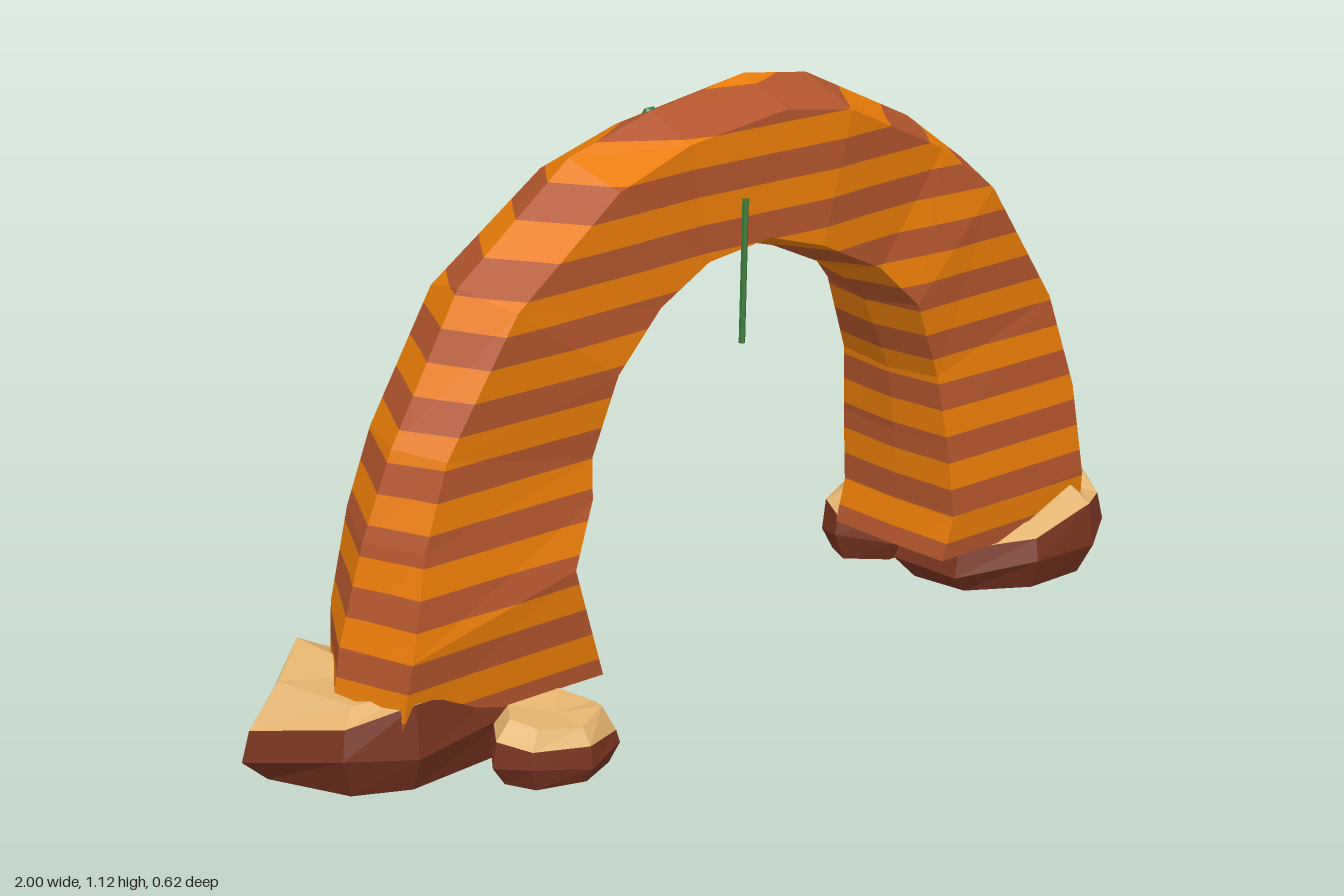
import * as THREE from 'three';

const flat = (name, color) => {
  const m = new THREE.MeshStandardMaterial({ color });
  m.name = name;
  m.flatShading = true;
  return m;
};

// Mesh from a list of triangles, each three Vector3
function facets(name, tris, material) {
  const geo = new THREE.BufferGeometry().setFromPoints(tris.flat());
  geo.computeVertexNormals();
  const mesh = new THREE.Mesh(geo, material);
  mesh.name = name;
  return mesh;
}

const V = (x, y, z) => new THREE.Vector3(x, y, z);

// Keep the part of a polygon on one side of a height
function clip(poly, y, sign) {
  const out = [];
  poly.forEach((a, i) => {
    const b = poly[(i + 1) % poly.length];
    const da = (a.y - y) * sign, db = (b.y - y) * sign;
    if (da >= 0) out.push(a);
    if (da * db < 0) out.push(a.clone().lerp(b, da / (da - db)));
  });
  return out;
}

// Arch stations: outer ridge x, y, inner ridge x, y, front z, back z, ridge z, back chamfer
const stations = [
  [-0.87, 0.11, -0.365, 0.105, 0.13, -0.165, -0.01, 0.11],
  [-0.85, 0.24, -0.43, 0.33, 0.145, -0.165, -0.01, 0.10],
  [-0.80, 0.43, -0.365, 0.44, 0.12, -0.165, 0, 0.09],
  [-0.74, 0.59, -0.355, 0.51, 0.11, -0.155, 0.01, 0.08],
  [-0.58, 0.845, -0.30, 0.645, 0.12, -0.14, 0, 0.06],
  [-0.32, 1.03, -0.20, 0.735, 0.11, -0.11, -0.01, 0.045],
  [-0.14, 1.085, -0.08, 0.79, 0.10, -0.105, 0, 0.045],
  [0.10, 1.115, 0.05, 0.81, 0.11, -0.12, -0.015, 0.05],
  [0.26, 1.09, 0.17, 0.775, 0.12, -0.12, -0.02, 0.05],
  [0.53, 0.96, 0.33, 0.70, 0.10, -0.105, -0.025, 0.045],
  [0.655, 0.86, 0.41, 0.62, 0.12, -0.13, 0, 0.045],
  [0.84, 0.59, 0.475, 0.47, 0.11, -0.15, 0.015, 0.045],
  [0.90, 0.39, 0.495, 0.335, 0.125, -0.165, 0, 0.045],
  [0.92, 0.20, 0.505, 0.19, 0.14, -0.165, -0.015, 0.045],
  [0.92, 0.105, 0.485, 0.105, 0.135, -0.165, -0.015, 0.045],
];

// Six-sided section: ridges outside and inside, flat front and back
function section([ox, oy, ix, iy, zf, zb, zr, chamfer]) {
  const O = V(ox, oy, zr), I = V(ix, iy, -0.01);
  const d = V(ix - ox, iy - oy, 0).normalize();
  const at = (p, k, z) => V(p.x + d.x * k, p.y + d.y * k, z);
  const inset = -0.035 * iy;
  return [O, at(O, 0.045, zf), at(I, inset, zf), I, at(I, inset, zb), at(O, chamfer, zb)];
}

function makeArch(orange, clay) {
  const rings = stations.map(section), tris = [];
  for (let i = 0; i < rings.length - 1; i++) {
    for (let j = 0; j < 6; j++) {
      const k = (j + 1) % 6;
      const a = rings[i][j], b = rings[i][k], c = rings[i + 1][k], d = rings[i + 1][j];
      tris.push([a, b, c], [a, c, d]);
    }
  }
  // Feet
  const s = rings[0], e = rings[rings.length - 1];
  for (let j = 1; j < 5; j++) tris.push([s[0], s[j + 1], s[j]], [e[0], e[j], e[j + 1]]);

  // Cut into level strata of alternating colour
  const band = 0.0535, start = 0.139 - 2 * band, layers = [[], []];
  for (const tri of tris) {
    for (let n = 0; n < 22; n++) {
      const y = start + n * band;
      const p = clip(clip(tri, y, 1), y + band, -1);
      for (let q = 1; q < p.length - 1; q++) layers[n % 2].push([p[0], p[q], p[q + 1]]);
    }
  }
  const g = new THREE.Group();
  g.name = 'stoneArch';
  g.add(facets('orangeStrata', layers[0], orange), facets('clayStrata', layers[1], clay));
  return g;
}

// Boulder from an outline of [x, z, rim height, share of the height that is bare rock]
function makeRock(name, cx, cz, outline, rockMat, sandMat) {
  const ring = (scale, rise) => outline.map(([x, z, h, bare], k) =>
    V(cx + (x - cx) * scale, h * rise(bare, k), cz + (z - cz) * scale));
  const rings = [
    ring(0.82, () => 0),
    ring(1, (bare, k) => bare * (k % 2 ? 0.6 : 0.42)),
    ring(0.94, (bare) => bare),
    ring(0.72, () => 1),
  ];
  const mean = outline.reduce((t, p) => t + p[2], 0) / outline.length;
  const base = V(cx, 0, cz), top = V(cx, mean * 0.95, cz);
  const body = [], cap = [];
  outline.forEach((_, k) => {
    const n = (k + 1) % outline.length;
    for (let r = 0; r < 3; r++) {
      const [lo, hi] = [rings[r], rings[r + 1]];
      (r < 2 ? body : cap).push([lo[k], hi[k], lo[n]], [lo[n], hi[k], hi[n]]);
    }
    body.push([rings[0][k], rings[0][n], base]);
    cap.push([rings[3][k], top, rings[3][n]]);
  });
  const g = new THREE.Group();
  g.name = name;
  g.add(facets('rockBody', body, rockMat), facets('sandCap', cap, sandMat));
  return g;
}

export function createModel() {
  const model = new THREE.Group();
  model.name = 'desertArch';
  const orange = flat('orangeStone', 0xe87c08), clay = flat('clayStone', 0xb2552d);
  const rock = flat('darkRock', 0x783421), sand = flat('sand', 0xe3b36e);
  const green = flat('vineGreen', 0x3c7838);

  model.add(makeArch(orange, clay));

  // Boulders round the feet
  model.add(
    makeRock('leftLargeRock', 0.79, 0.02, [
      [1.0, 0.04, 0.21, 0.72], [0.95, 0.13, 0.15, 0.9], [0.86, 0.19, 0.18, 0.82],
      [0.70, 0.19, 0.13, 0.85], [0.56, 0.10, 0.12, 0.8], [0.54, -0.05, 0.10, 0.8],
      [0.75, -0.17, 0.10, 0.9], [0.95, -0.09, 0.16, 0.92],
    ], rock, sand),
    makeRock('rightLargeRock', -0.74, -0.05, [
      [-0.43, -0.03, 0.10, 0.9], [-0.56, 0.13, 0.16, 0.97], [-0.80, 0.15, 0.175, 0.97],
      [-0.92, 0.09, 0.16, 0.85], [-1.0, -0.10, 0.18, 0.55], [-0.87, -0.20, 0.215, 0.55],
      [-0.72, -0.29, 0.15, 0.7], [-0.53, -0.17, 0.12, 0.9],
    ], rock, sand),
    makeRock('rightSmallRock', -0.545, 0.21, [
      [-0.415, 0.20, 0.10, 0.4], [-0.44, 0.26, 0.11, 0.55], [-0.54, 0.305, 0.10, 0.7],
      [-0.65, 0.27, 0.11, 0.7], [-0.68, 0.20, 0.12, 0.7], [-0.63, 0.13, 0.12, 0.7],
      [-0.47, 0.13, 0.12, 0.5],
    ], rock, sand),
    makeRock('leftSmallRock', 0.66, -0.21, [
      [0.80, -0.20, 0.14, 0.8], [0.76, -0.12, 0.15, 0.8], [0.60, -0.12, 0.13, 0.75],
      [0.52, -0.20, 0.12, 0.8], [0.55, -0.27, 0.12, 0.9], [0.63, -0.31, 0.13, 0.85],
      [0.77, -0.29, 0.14, 0.75],
    ], rock, sand),
  );

  // Hanging vine on the front face
  const vinePath = new THREE.LineCurve3(V(-0.042, 0.665, 0.139), V(-0.022, 0.93, 0.126));
  const vine = new THREE.Mesh(new THREE.TubeGeometry(vinePath, 1, 0.006, 6), green);
  vine.name = 'hangingVine';
  model.add(vine);

  // Small sprout nestled in the crown
  const sprout = new THREE.Mesh(new THREE.IcosahedronGeometry(0.018, 0), green);
  sprout.name = 'crownSprout';
  sprout.position.set(-0.1, 1.063, -0.045);
  model.add(sprout);

  return model;
}
